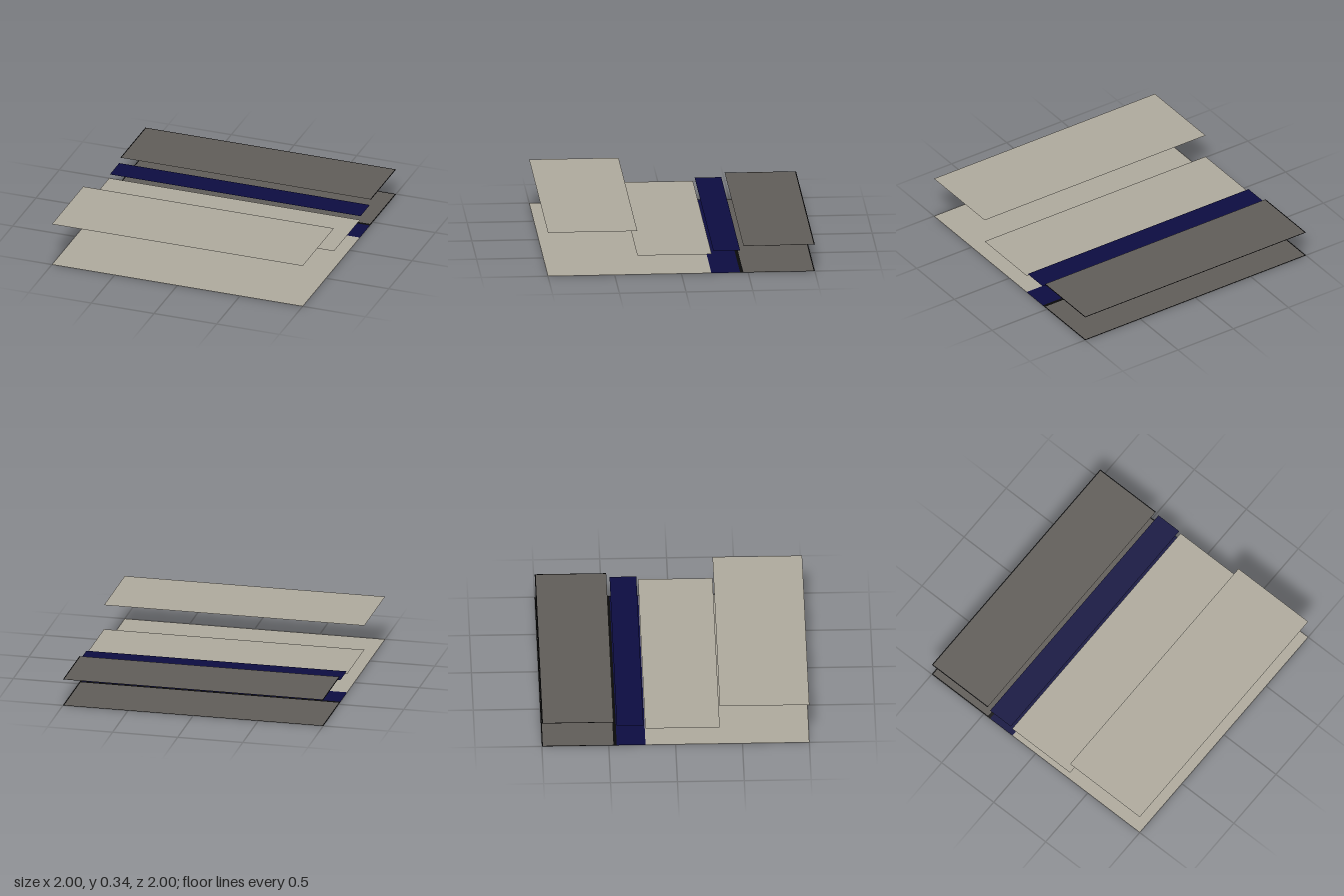
import * as THREE from 'three';

const material = (name, color) =>
  new THREE.MeshStandardMaterial({ name, color, side: THREE.DoubleSide });

export function createModel() {
  const beige = material('beige', 0xb1ac9f);
  const grey = material('grey', 0x625e5a);
  const navy = material('navy', 0x0d0d42);
  const black = material('black', 0x0a0a0a);

  const model = new THREE.Group();
  model.name = 'layeredPanels';

  // Flat horizontal sheet spanning x0..x1 and z0..z1 at height y
  function sheet(parent, name, mat, y, z0, z1, x0 = -1, x1 = 1) {
    const geometry = new THREE.PlaneGeometry(x1 - x0, z1 - z0).rotateX(-Math.PI / 2);
    const mesh = new THREE.Mesh(geometry, mat);
    mesh.name = name;
    mesh.position.set((x0 + x1) / 2, y, (z0 + z1) / 2);
    parent.add(mesh);
  }

  // Grey sheet with a narrow black rim on its outer edges
  function rimmedSheet(name, y, z0, z1) {
    const rim = 0.008;
    const group = new THREE.Group();
    group.name = name;
    sheet(group, 'greyField', grey, y, z0 + rim, z1, -1 + rim, 1 - rim);
    sheet(group, 'backRim', black, y, z0, z0 + rim);
    sheet(group, 'rightRim', black, y, z0 + rim, z1, -1, -1 + rim);
    sheet(group, 'leftRim', black, y, z0 + rim, z1, 1 - rim, 1);
    model.add(group);
  }

  // Base layer
  rimmedSheet('baseBackPanel', 0, -1, -0.465);
  sheet(model, 'baseSeam', black, 0, -0.465, -0.44);
  sheet(model, 'baseStripe', navy, 0, -0.44, -0.225);
  sheet(model, 'baseFrontPanel', beige, 0, -0.225, 1);

  // Raised layers, back to front
  rimmedSheet('raisedBackPanel', 0.206, -1, -0.465);
  sheet(model, 'raisedStripe', navy, 0.172, -0.44, -0.24);
  sheet(model, 'raisedMiddlePanel', beige, 0.147, -0.227, 0.33);
  sheet(model, 'raisedFrontPanel', beige, 0.338, 0.33, 1);

  return model;
}
